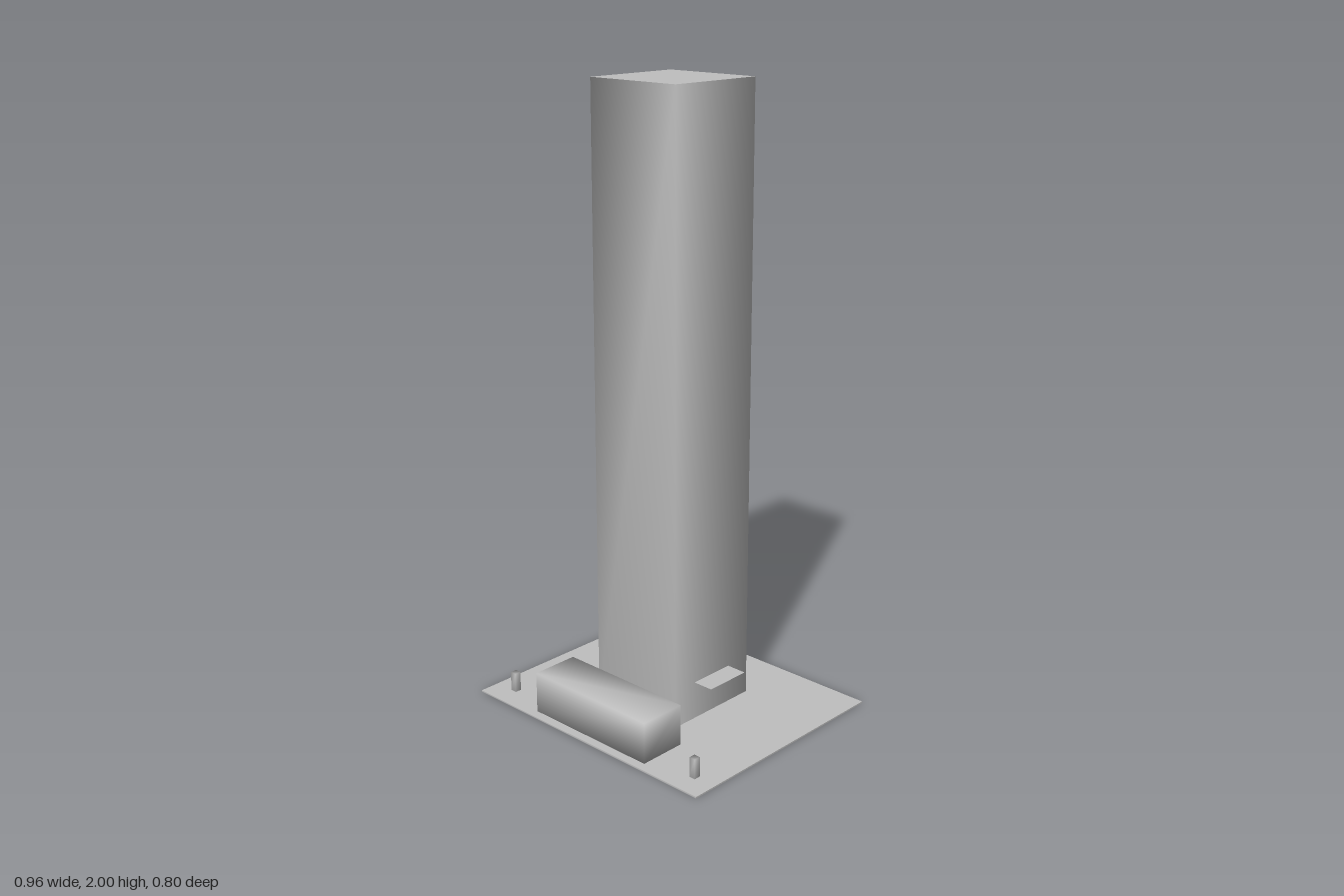
import * as THREE from 'three';
import { mergeVertices } from 'three/addons/utils/BufferGeometryUtils.js';

// Box whose corners share vertices, so shading blends round the edges
function smoothBox(w, h, d, skipCaps = false) {
  const box = new THREE.BoxGeometry(w, h, d);
  box.deleteAttribute('normal');
  box.deleteAttribute('uv');
  box.clearGroups();
  if (skipCaps) {
    const ids = Array.from(box.index.array);
    ids.splice(12, 12); // drop top and bottom faces
    box.setIndex(ids);
  }
  const merged = mergeVertices(box);
  merged.computeVertexNormals();
  return merged;
}

export function createModel() {
  const model = new THREE.Group();
  const concrete = new THREE.MeshStandardMaterial({ color: 0xbfbfbf });
  concrete.name = 'grey concrete';
  const sheet = new THREE.MeshStandardMaterial({ color: 0xbfbfbf, side: THREE.DoubleSide });
  sheet.name = 'grey sheet';

  const add = (name, geometry, x, y, z, material = concrete) => {
    const mesh = new THREE.Mesh(geometry, material);
    mesh.name = name;
    mesh.position.set(x, y, z);
    model.add(mesh);
    return mesh;
  };

  // Ground slab
  add('plaza', new THREE.BoxGeometry(0.96, 0.005, 0.8), 0, 0.0025, 0);

  // Tower: smooth walls with flat roof and underside
  const bottom = 0.015, top = 2, side = 0.34, towerZ = -0.01;
  add('towerWalls', smoothBox(side, top - bottom, side, true), 0, (top + bottom) / 2, towerZ);
  const cap = new THREE.PlaneGeometry(side, side);
  add('towerRoof', cap, 0, top, towerZ).rotation.x = -Math.PI / 2;
  add('towerUnderside', cap, 0, bottom, towerZ).rotation.x = Math.PI / 2;

  // Thin canopy reaching out on both sides of the tower
  add('canopy', new THREE.PlaneGeometry(0.48, 0.16), 0, 0.14, towerZ, sheet).rotation.x = -Math.PI / 2;

  // Low entrance block in front
  add('entranceBlock', smoothBox(0.48, 0.135, 0.16), 0, 0.0725, 0.29);

  // Posts at the front corners
  for (const s of [-1, 1]) {
    add(s > 0 ? 'leftPost' : 'rightPost', smoothBox(0.022, 0.065, 0.022), s * 0.4, 0.0375, 0.32);
  }
  return model;
}
